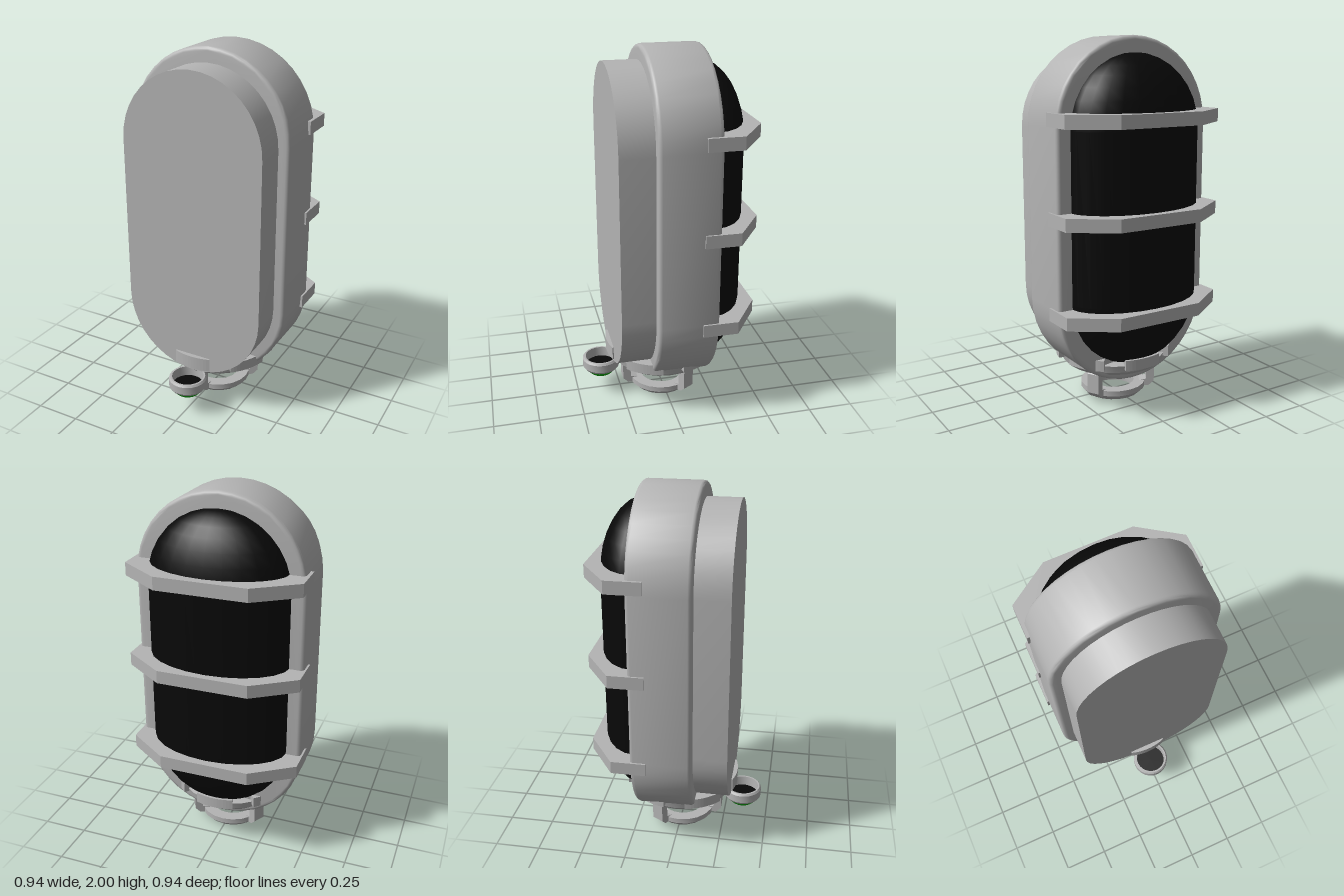
import * as THREE from 'three';
import { toCreasedNormals } from 'three/addons/utils/BufferGeometryUtils.js';

const mat = (name, color, side = THREE.FrontSide) => {
  const m = new THREE.MeshStandardMaterial({ color, side });
  m.name = name;
  return m;
};

// Upright stadium outline between two arc centres
function stadium(r, low, high) {
  const s = new THREE.Shape();
  s.absarc(0, high, r, 0, Math.PI, false);
  s.absarc(0, low, r, Math.PI, Math.PI * 2, false);
  s.closePath();
  return s;
}

// Arc-shaped block centred on +z, lying flat with its base at y = 0
function arcBlock(inner, outer, half, height) {
  const s = new THREE.Shape();
  const mid = -Math.PI / 2;
  s.absarc(0, 0, outer, mid - half, mid + half, false);
  s.absarc(0, 0, inner, mid + half, mid - half, true);
  s.closePath();
  const g = new THREE.ExtrudeGeometry(s, { depth: height, bevelEnabled: false, curveSegments: 6 });
  return g.rotateX(-Math.PI / 2);
}

const lathe = (pts, segments) => toCreasedNormals(
  new THREE.LatheGeometry(pts.map(([x, y]) => new THREE.Vector2(x, y)), segments), 0.5);

export function createModel() {
  const root = new THREE.Group();
  root.name = 'capsuleLamp';
  const grey = mat('greyMetal', 0xb4b4b4);
  const black = mat('blackLens', 0x080808);
  const green = mat('greenGlass', 0x0cae0c);

  const add = (name, geo, material, parent = root) => {
    const m = new THREE.Mesh(geo, material);
    m.name = name;
    parent.add(m);
    return m;
  };

  // Main housing with softened rims
  const housing = new THREE.ExtrudeGeometry(stadium(0.44, 0.6, 1.54), {
    depth: 0.29, bevelThickness: 0.02, bevelSize: 0.02, bevelSegments: 3, curveSegments: 10,
  });
  add('housing', toCreasedNormals(housing, 0.6), grey).position.z = -0.195;

  // Raised front plate
  const plate = new THREE.ExtrudeGeometry(stadium(0.4, 0.62, 1.52), {
    depth: 0.2, bevelEnabled: false, curveSegments: 10,
  });
  add('frontPlate', toCreasedNormals(plate, 0.6), grey).position.z = 0.1;

  // Dark bulging lens at the back
  const lens = add('lens', new THREE.CapsuleGeometry(0.385, 0.9, 8, 24), black);
  lens.position.set(0, 1.08, -0.2);
  lens.scale.z = 0.23 / 0.385;

  // Three angular bands across the lens
  const bandShape = new THREE.Shape([
    [-0.47, 0.125], [0.47, 0.125], [0.47, 0.315], [0.245, 0.47], [-0.245, 0.47], [-0.47, 0.315],
  ].map(([x, y]) => new THREE.Vector2(x, y)));
  const bandGeo = new THREE.ExtrudeGeometry(bandShape, { depth: 0.07, bevelEnabled: false });
  bandGeo.rotateX(-Math.PI / 2);
  for (const y of [0.535, 1.045, 1.55]) add('band', bandGeo, grey).position.y = y;

  // Bowl-shaped collar beneath the housing
  const collar = new THREE.Group();
  collar.name = 'collar';
  root.add(collar);
  add('collarBowl', lathe([
    [0, 0.16], [0.21, 0.16], [0.22, 0.185], [0.27, 0.195], [0.29, 0.215], [0.3, 0.255], [0.25, 0.265], [0, 0.265],
  ], 24), grey, collar);
  // Raised clamps around the collar, the front one a little taller
  for (let i = 0; i < 6; i++) {
    const front = i === 0;
    const clamp = add('collarClamp', arcBlock(0.26, 0.325, 0.34, front ? 0.075 : 0.06), grey, collar);
    clamp.position.y = front ? 0.245 : 0.235;
    clamp.rotation.y = (i * Math.PI) / 3;
  }

  // Open bottom ring hanging on three bent struts
  add('bottomRing', lathe([
    [0.12, 0], [0.155, 0], [0.185, 0.03], [0.185, 0.06], [0.12, 0.06], [0.12, 0],
  ], 20), grey);
  const strutShape = new THREE.Shape([
    [0.15, 0.03], [0.205, 0.03], [0.235, 0.06], [0.235, 0.17], [0.2, 0.2], [0.16, 0.2], [0.19, 0.16], [0.19, 0.07], [0.15, 0.06],
  ].map(([x, y]) => new THREE.Vector2(x, y)));
  const strutGeo = new THREE.ExtrudeGeometry(strutShape, { depth: 0.07, bevelEnabled: false });
  strutGeo.translate(0, 0, -0.035).rotateY(-Math.PI / 2);
  for (let i = 0; i < 3; i++) add('strut', strutGeo, grey).rotation.y = (i * Math.PI * 2) / 3;

  // Small downward lamp at the front
  const lamp = new THREE.Group();
  lamp.name = 'signalLamp';
  lamp.position.set(0, 0, 0.36);
  root.add(lamp);
  add('lampCup', lathe([
    [0.085, 0.145], [0.095, 0.145], [0.106, 0.16], [0.106, 0.205], [0.098, 0.216], [0.088, 0.216], [0.085, 0.145],
  ], 24), grey, lamp);
  const dome = new THREE.SphereGeometry(0.087, 20, 8, 0, Math.PI * 2, Math.PI / 2, Math.PI / 2);
  const bulb = add('bulb', dome, green, lamp);
  bulb.position.y = 0.155;
  bulb.scale.y = 0.72;
  const disc = new THREE.CircleGeometry(0.087, 20).rotateX(-Math.PI / 2);
  add('lampInside', disc, black, lamp).position.y = 0.16;

  return root;
}
